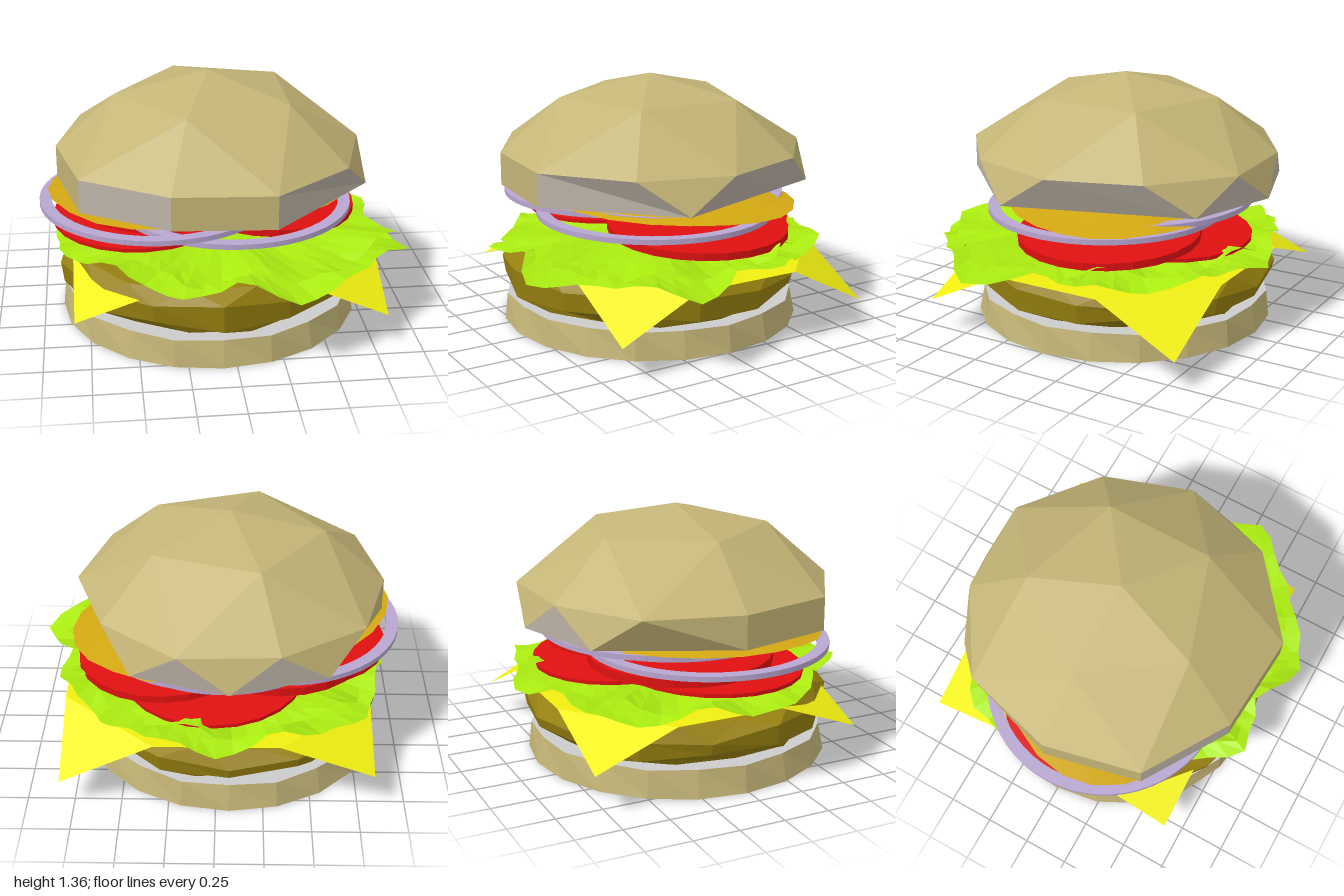
import * as THREE from 'three';

const mat = (color, side = THREE.FrontSide) =>
  new THREE.MeshStandardMaterial({ color, flatShading: true, side });

const MATS = {
  bun: mat(0xc4b577),
  crumb: mat(0xbfb5a8),
  grey: mat(0xcccccc),
  patty: mat(0x96800f),
  cheese: mat(0xf0ee10, THREE.DoubleSide),
  lettuce: mat(0xaaea10, THREE.DoubleSide),
  tomato: mat(0xe01010),
  onion: mat(0xb8a6d0),
  pickle: mat(0xd2a812, THREE.DoubleSide),
};

// Point on a circle around (cx, cz)
const polar = (cx, cz, a, r, y) => new THREE.Vector3(cx + r * Math.cos(a), y, cz + r * Math.sin(a));

// Ring of n points; radius and height may depend on the index and angle
function ring(n, cx, cz, radius, height, twist = 0) {
  const value = (f, i, a) => (typeof f === 'function' ? f(i, a) : f);
  return Array.from({ length: n }, (_, i) => {
    const a = ((i + twist) / n) * Math.PI * 2;
    return polar(cx, cz, a, value(radius, i, a), value(height, i, a));
  });
}

// Facets between rings listed from the bottom up; keep() picks columns
function loft(rings, keep = () => true) {
  const pos = [];
  const tri = (a, b, c) => {
    if (a.distanceTo(b) * b.distanceTo(c) * c.distanceTo(a) < 1e-9) return;
    for (const p of [a, b, c]) pos.push(p.x, p.y, p.z);
  };
  for (let k = 0; k + 1 < rings.length; k++) {
    const lo = rings[k], hi = rings[k + 1], n = lo.length;
    for (let i = 0; i < n; i++) {
      if (!keep(i)) continue;
      const j = (i + 1) % n;
      tri(lo[i], hi[i], hi[j]);
      tri(lo[i], hi[j], lo[j]);
    }
  }
  const geo = new THREE.BufferGeometry();
  geo.setAttribute('position', new THREE.Float32BufferAttribute(pos, 3));
  geo.computeVertexNormals();
  return geo;
}

function add(group, name, geo, material) {
  const mesh = new THREE.Mesh(geo, material);
  mesh.name = name;
  group.add(mesh);
  return mesh;
}

// Domed bun: five-sided crown on ten corners, with a wall of mixed triangles and quads
function topBun() {
  const g = new THREE.Group();
  g.name = 'topBun';
  const cx = -0.07, cz = -0.03;
  const radii = [0.83, 0.85, 0.88, 0.84, 0.88, 0.83, 0.86, 0.83, 0.85, 0.82];
  const wall = ring(10, cx, cz, (i) => radii[i], 0.95);
  const corners = ring(5, cx, cz + 0.01, 0.5, 1.24, 0.5);
  // Each crown corner serves two columns
  const crown = wall.map((_, i) => corners[Math.floor(((i + 9) % 10) / 2)]);
  const apex = ring(10, cx, -0.02, 0, 1.355);
  add(g, 'topBunDome', loft([wall, crown, apex]), MATS.bun);

  // Wall columns: base angle, base radius, wall corner, pale or not
  const columns = [
    [18, 0.875, 0, 0], [18, 0.875, 1, 1], [72, 0.88, 2, 0], [108, 0.84, 3, 1], [144, 0.88, 4, 0],
    [180, 0.83, 5, 0], [234, 0.86, 6, 0], [234, 0.86, 7, 1], [270, 0.86, 7, 0], [270, 0.86, 8, 1],
    [306, 0.86, 8, 0], [306, 0.86, 9, 1],
  ];
  const base = columns.map(([deg, r]) => polar(cx, cz, THREE.MathUtils.degToRad(deg), r, 0.77));
  const rim = columns.map((c) => wall[c[2]]);
  add(g, 'topBunSide', loft([base, rim], (i) => !columns[i][3]), MATS.bun);
  add(g, 'topBunCutSide', loft([base, rim], (i) => columns[i][3]), MATS.crumb);
  add(g, 'topBunUnderside', loft([ring(12, cx, cz, 0, 0.77), base]), MATS.crumb);
  return g;
}

// Bun heel with a pale cut face
function bottomBun() {
  const g = new THREE.Group();
  g.name = 'bottomBun';
  const n = 20, cx = -0.07, cz = -0.015;
  const base = ring(n, cx, cz, 0.826, 0);
  const top = ring(n, cx, cz, (i) => (i % 2 ? 0.795 : 0.81), 0.148);
  add(g, 'bottomBunCrust', loft([ring(n, cx, cz, 0, 0), base, top]), MATS.bun);
  add(g, 'bottomBunCutFace', loft([top, ring(n, cx, cz, 0, 0.148)]), MATS.grey);
  return g;
}

// Lumpy disc, higher toward the front
function patty() {
  const n = 14, cx = -0.07, cz = -0.02;
  const lump = (i) => 0.015 * Math.sin(i * 2.4);
  const tilt = (a) => 0.03 * Math.sin(a);
  return loft([
    ring(n, cx, cz, 0, 0.15),
    ring(n, cx, cz, (i) => 0.72 + lump(i), (i) => 0.147 + 0.5 * lump(i + 1)),
    ring(n, cx, cz, (i) => 0.82 + lump(i), (i) => 0.22 + lump(i + 2) * 1.5, 0.5),
    ring(n, cx, cz, (i) => 0.835 + lump(i), (i, a) => 0.315 + tilt(a) + lump(i) * 1.5, 0.5),
    ring(n, cx, cz, (i) => 0.76 + lump(i + 3), (i, a) => 0.385 + tilt(a) + lump(i)),
    ring(n, cx, cz, 0, 0.385),
  ]);
}

// Square slice with folded-down corners: flat octagon plus four flaps
function cheese() {
  const outer = [], fold = [];
  const point = (u, v, y) => new THREE.Vector3(-0.005 + 0.825 * u, y, -0.075 + 0.745 * v);
  for (const [u, v, tip] of [[1, 1, 0.185], [-1, 1, 0.23], [-1, -1, 0.22], [1, -1, 0.165]]) {
    // The fold ends swap order from corner to corner
    let p = point(u, 0.4 * v, 0.4), q = point(0.4 * u, v, 0.4);
    if (u * v < 0) [p, q] = [q, p];
    outer.push(p, point(u, v, tip), q);
    fold.push(p, p, q);
  }
  return loft([outer, fold, ring(12, 0, -0.075, 0, 0.4)]);
}

// Ruffled leaf; the outline lists a radius every 18 degrees
const LEAF = [0.82, 1.05, 0.95, 0.95, 0.98, 0.79, 0.92, 0.79, 0.84, 0.91,
  0.92, 0.9, 0.98, 0.92, 0.86, 0.93, 0.86, 0.92, 0.83, 0.9];

function leaf(scale, lift, phase) {
  const n = 60;
  const edge = (i) => {
    const k = Math.floor(i / 3), t = (i % 3) / 3;
    const r = LEAF[k] * (1 - t) + LEAF[(k + 1) % 20] * t;
    return r + 0.012 * Math.sin(i * 2.1 + phase);
  };
  const rings = [1, 0.87, 0.72, 0.5, 0.25, 0].map((s) =>
    ring(n, 0, 0, (i) => edge(i) * s * scale, (i, a) => lift
      + s * s * (0.03 * Math.sin(7 * a + phase + 3 * s) + 0.018 * Math.sin(13 * a - 5 * s))
      - 0.015 * s * s));
  return loft(rings);
}

// Thin wavy pickle layer, skewed back on the left side
function pickleLayer() {
  const n = 24;
  const rings = [1, 0.8, 0.55, 0.3, 0].map((s) => {
    const pts = ring(n, 0, 0, s, 0);
    for (const p of pts) {
      const x = p.x, z = p.z;
      const y = 0.755 - 0.03 * x * x - 0.02 * x - 0.06 * z * z + 0.015 * z + 0.012 * Math.sin(5 * x + 2 * z);
      p.set(-0.08 + 0.87 * x, y, -0.02 + 0.65 * z - 0.13 * x);
    }
    return pts;
  });
  return loft(rings);
}

// Flat ring with square edges
function onionRing() {
  const shape = new THREE.Shape().absarc(0, 0, 0.65, 0, Math.PI * 2);
  shape.holes.push(new THREE.Path().absarc(0, 0, 0.585, 0, Math.PI * 2, true));
  return new THREE.ExtrudeGeometry(shape, { depth: 0.028, bevelEnabled: false, curveSegments: 28 })
    .rotateX(-Math.PI / 2).translate(0, -0.014, 0);
}

export function createModel() {
  const burger = new THREE.Group();
  burger.name = 'burger';
  burger.add(bottomBun());
  add(burger, 'patty', patty(), MATS.patty);
  add(burger, 'cheeseSlice', cheese(), MATS.cheese);
  add(burger, 'lowerLettuce', leaf(1, 0.462, 0), MATS.lettuce);
  add(burger, 'upperLettuce', leaf(0.92, 0.505, 2), MATS.lettuce);

  // Tomato slices: x, y, z, thickness, tilt about x, tilt about z
  const slices = [
    [-0.33, 0.602, -0.12, 0.046, 0, 0],
    [-0.44, 0.558, 0.0, 0.02, 0.03, 0.02],
    [0.27, 0.55, -0.12, 0.04, 0, -0.05],
    [0.02, 0.53, -0.3, 0.02, -0.04, 0],
  ];
  for (const [x, y, z, h, rx, rz] of slices) {
    const t = add(burger, 'tomatoSlice', new THREE.CylinderGeometry(0.495, 0.495, h, 24), MATS.tomato);
    t.position.set(x, y, z);
    t.rotation.set(rx, 0, rz);
  }

  // Onion rings, each shifted off centre
  for (const [x, y, z] of [[0.06, 0.624, 0.03], [-0.35, 0.664, 0.03], [-0.035, 0.695, -0.105]]) {
    add(burger, 'onionRing', onionRing(), MATS.onion).position.set(x, y, z);
  }

  add(burger, 'pickleLayer', pickleLayer(), MATS.pickle);
  burger.add(topBun());
  return burger;
}
